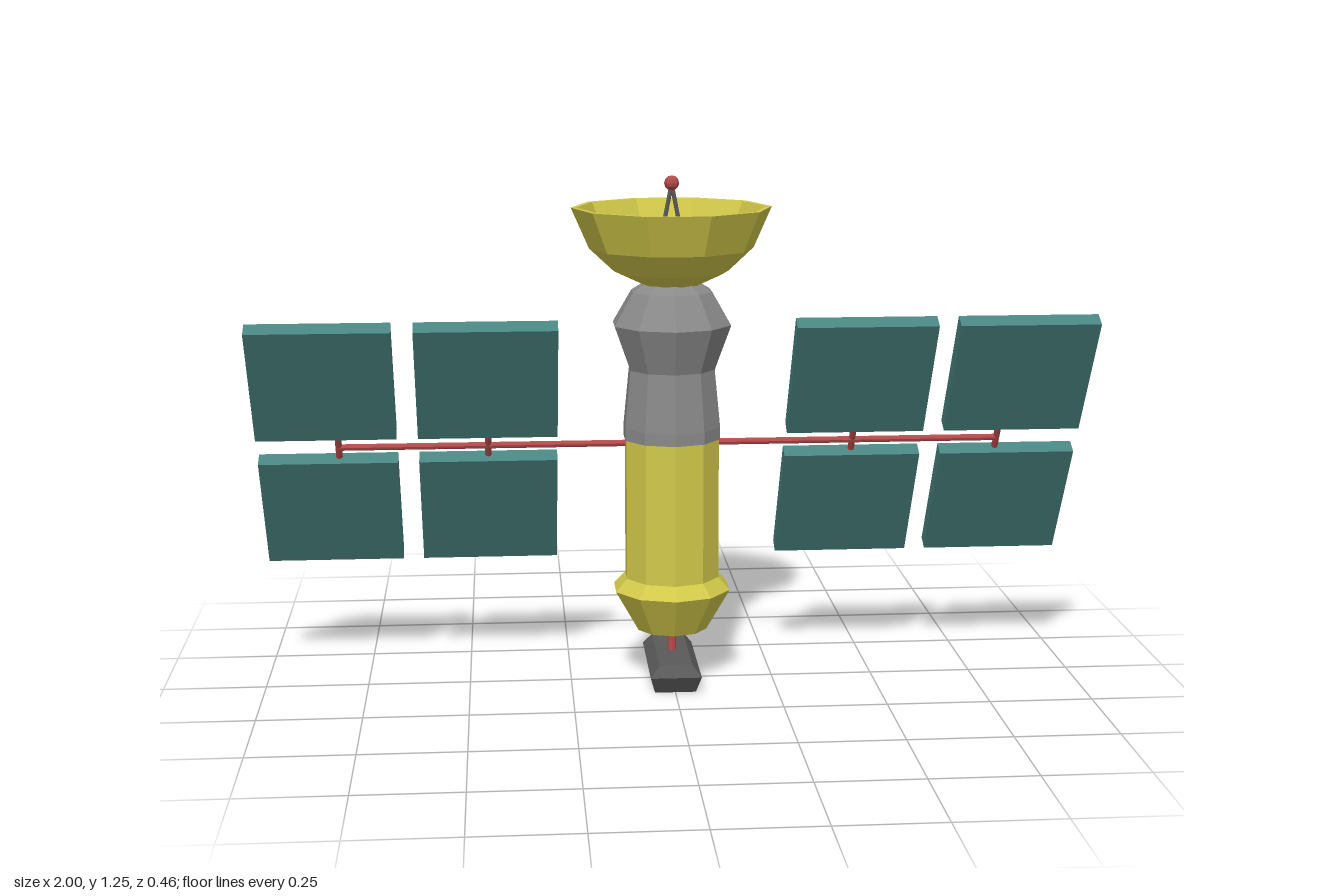
import * as THREE from 'three';

const mat = (name, color) => new THREE.MeshStandardMaterial({ name, color, flatShading: true });

export function createModel() {
  const yellow = mat('yellow', 0xd2c94a);
  const grey = mat('grey', 0x8a8a8a);
  const darkGrey = mat('darkGrey', 0x5a5a5a);
  const teal = mat('teal', 0x498480);
  const red = mat('red', 0xb54a4a);

  const root = new THREE.Group();
  root.name = 'spaceProbe';

  const add = (name, geometry, material, x = 0, y = 0, z = 0, parent = root) => {
    const mesh = new THREE.Mesh(geometry, material);
    mesh.name = name;
    mesh.position.set(x, y, z);
    parent.add(mesh);
    return mesh;
  };

  // Ten-sided turned part from [radius, height] pairs
  const turned = (profile, start = 0) =>
    new THREE.LatheGeometry(profile.map(([r, y]) => new THREE.Vector2(r, y)), 10, start);

  // Thin rod between two points
  const rod = (name, a, b, radius, material, parent = root) => {
    const dir = b.clone().sub(a);
    const mesh = add(name, new THREE.CylinderGeometry(radius, radius, dir.length(), 8), material, 0, 0, 0, parent);
    mesh.position.copy(a).add(b).multiplyScalar(0.5);
    mesh.quaternion.setFromUnitVectors(new THREE.Vector3(0, 1, 0), dir.normalize());
    return mesh;
  };
  const v = (x, y, z) => new THREE.Vector3(x, y, z);

  // Hull
  add('lowerHull', turned([
    [0, 0.132], [0.088, 0.132], [0.147, 0.235], [0.118, 0.266], [0.118, 0.614], [0, 0.614],
  ]), yellow);
  add('upperHull', turned([
    [0, 0.612], [0.121, 0.612], [0.121, 0.642], [0.107, 0.783], [0.147, 0.892], [0.1, 0.972], [0.07, 0.99], [0, 0.99],
  ]), grey);

  // Dish: outer shell, rim, then inner shell
  add('dish', turned([
    [0, 0.985], [0.07, 0.988], [0.139, 1.02], [0.198, 1.075], [0.241, 1.173],
    [0.228, 1.173], [0.187, 1.082], [0.132, 1.031], [0.066, 1.0], [0, 0.998],
  ], Math.PI / 10), yellow);

  // Dish feed with its two struts and ball
  add('feedCone', new THREE.CylinderGeometry(0.03, 0.067, 0.09, 10), darkGrey, 0, 1.043, 0);
  for (const side of [-1, 1]) {
    rod('feedStrut', v(side * 0.033, 1.06, 0), v(0, 1.228, 0), 0.005, darkGrey);
  }
  add('feedBall', new THREE.SphereGeometry(0.018, 8, 6), red, 0, 1.23, 0);

  // Stem and foot
  rod('stem', v(0, 0.06, 0), v(0, 0.14, 0), 0.011, red);
  add('foot', footGeometry(), darkGrey);

  // Solar wings, tilted about the spar
  rod('spar', v(-0.81, 0.597, -0.009), v(0.81, 0.597, -0.009), 0.008, red);
  const wings = new THREE.Group();
  wings.name = 'solarWings';
  wings.position.y = 0.601;
  wings.rotation.x = 0.54;
  root.add(wings);
  const panel = new THREE.BoxGeometry(0.335, 0.332, 0.038);
  for (const side of [-1, 1]) {
    for (const [centre, arm] of [[0.446, 0.446], [0.8325, 0.806]]) {
      rod('panelArm', v(side * arm, -0.06, -0.006), v(side * arm, 0.06, -0.006), 0.008, red, wings);
      for (const end of [-1, 1]) add('solarPanel', panel, teal, side * centre, end * 0.2045, 0, wings);
    }
  }
  return root;
}

// Rectangular sections [half width, half depth, height] joined from bottom to top
function footGeometry() {
  const sections = [[0.05, 0.12, 0], [0.062, 0.149, 0.045], [0.04, 0.131, 0.073]];
  const positions = [];
  for (const [w, d, y] of sections) {
    for (const [sx, sz] of [[1, 1], [1, -1], [-1, -1], [-1, 1]]) positions.push(sx * w, y, sz * d);
  }
  const index = [0, 2, 1, 0, 3, 2, 8, 9, 10, 8, 10, 11];
  for (let s = 0; s < 2; s++) {
    for (let i = 0; i < 4; i++) {
      const a = s * 4 + i, b = s * 4 + (i + 1) % 4;
      index.push(a, b, b + 4, a, b + 4, a + 4);
    }
  }
  const geometry = new THREE.BufferGeometry();
  geometry.setAttribute('position', new THREE.Float32BufferAttribute(positions, 3));
  geometry.setIndex(index);
  geometry.computeVertexNormals();
  return geometry;
}
